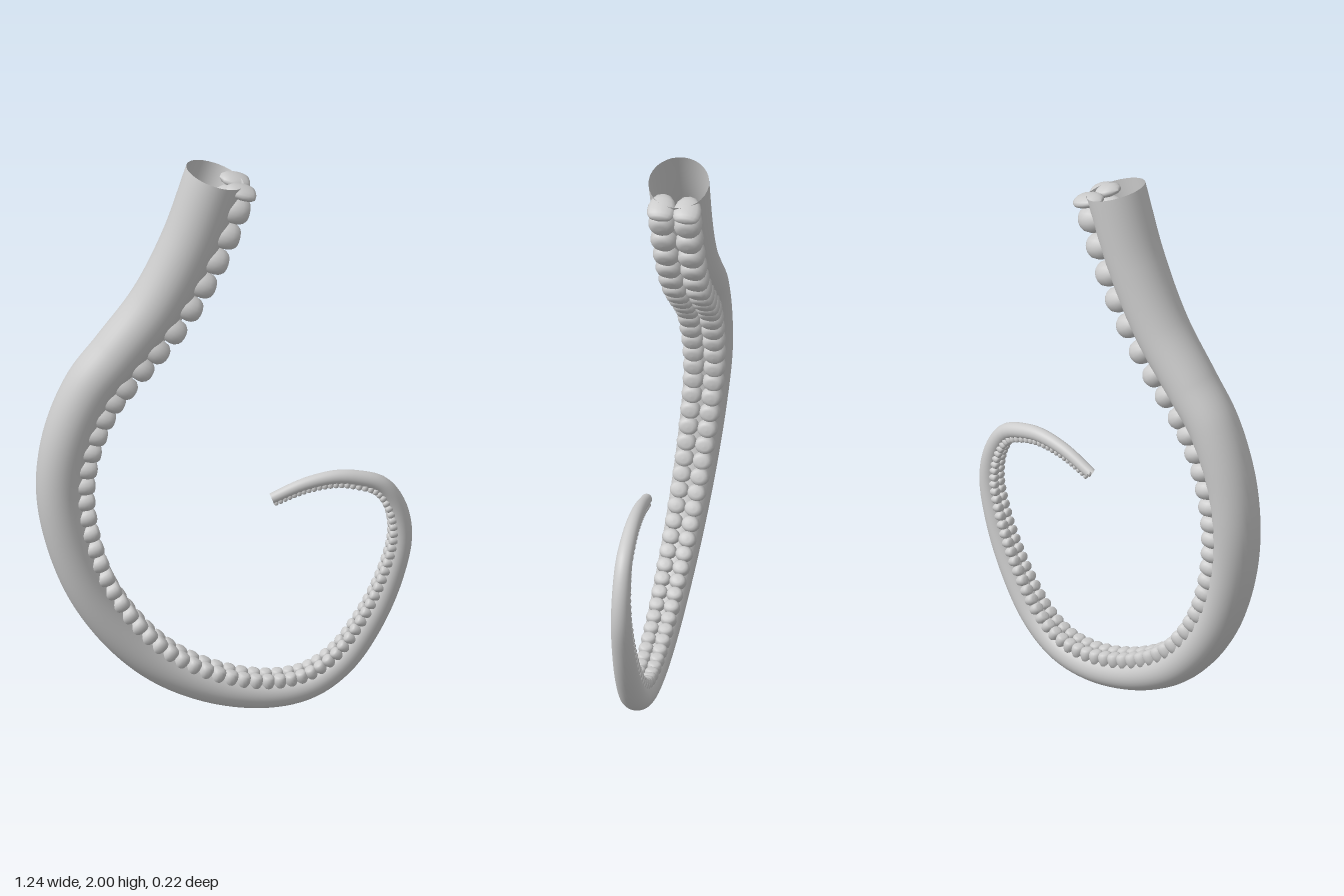
import * as THREE from 'three';
import { mergeGeometries } from 'three/addons/utils/BufferGeometryUtils.js';
import { ParametricGeometry } from 'three/addons/geometries/ParametricGeometry.js';

// Centre line, from the thick open end to the tip
const path = new THREE.CatmullRomCurve3([
  [-0.025, 1.97, -0.012], [-0.11, 1.733, -0.012], [-0.22, 1.52, -0.013], [-0.352, 1.352, -0.014],
  [-0.446, 1.234, -0.016], [-0.52, 1.06, -0.018], [-0.547, 0.88, -0.018], [-0.527, 0.7, -0.008],
  [-0.458, 0.494, 0.008], [-0.349, 0.322, 0.024], [-0.212, 0.19, 0.038], [-0.03, 0.096, 0.048],
  [0.15, 0.06, 0.055], [0.28, 0.08, 0.06], [0.387, 0.153, 0.064], [0.483, 0.29, 0.067],
  [0.553, 0.45, 0.069], [0.586, 0.6, 0.071], [0.567, 0.717, 0.073], [0.515, 0.797, 0.074],
  [0.435, 0.83, 0.073], [0.36, 0.841, 0.071], [0.255, 0.825, 0.068], [0.148, 0.784, 0.064],
].map((p) => new THREE.Vector3(...p)));
path.arcLengthDivisions = 1000;

const radiusAt = (s) => 0.1 - 0.082 * Math.pow(s, 1.2);

// Tangent, inward direction (sucker side) and sideways direction at s in 0..1
function frameAt(s) {
  const centre = path.getPointAt(s);
  const along = path.getTangentAt(s);
  const inward = new THREE.Vector3(-along.y, along.x, 0).normalize();
  const side = new THREE.Vector3().crossVectors(along, inward).normalize();
  return { centre, along, inward, side };
}

export function createModel() {
  const group = new THREE.Group();
  group.name = 'tentacle';

  // Tapered open tube
  const tube = new ParametricGeometry((u, v, target) => {
    const { centre, inward, side } = frameAt(THREE.MathUtils.clamp(v, 0, 1));
    const a = u * Math.PI * 2;
    const r = radiusAt(v);
    target.copy(centre)
      .addScaledVector(inward, r * Math.cos(a))
      .addScaledVector(side, r * Math.sin(a));
  }, 32, 160);
  const arm = new THREE.Mesh(tube, new THREE.MeshStandardMaterial({ color: 0xcccccc, side: THREE.DoubleSide }));
  arm.name = 'arm';
  group.add(arm);

  // Barrel-shaped sucker, measured in arm radii from the centre line
  const profile = [
    [0, 0.35], [0.25, 0.45], [0.39, 0.63], [0.46, 0.85], [0.47, 1.05],
    [0.44, 1.22], [0.36, 1.33], [0.22, 1.38], [0, 1.39],
  ].map(([x, y]) => new THREE.Vector2(x, y));
  const sucker = new THREE.LatheGeometry(profile, 16);

  // Two rows, shrinking with the arm
  const rows = { 1: [], '-1': [] };
  const length = path.getLength();
  function addPair(s, stretch) {
    const { centre, along, inward, side } = frameAt(s);
    const r = radiusAt(s);
    for (const sign of [1, -1]) {
      const place = new THREE.Matrix4()
        .makeBasis(along, inward, side)
        .setPosition(centre.clone().addScaledVector(side, sign * 0.43 * r))
        .scale(new THREE.Vector3(r * stretch, r, r));
      rows[sign].push(sucker.clone().applyMatrix4(place));
    }
  }
  addPair(0.022 / length, 0.48); // half pair at the cut end
  let d = 0.09;
  while (d < length - 0.006) {
    const s = d / length;
    const spacing = 0.95 - 0.1 * Math.min(1, s * 3);
    addPair(s, spacing / 0.94);
    d += radiusAt(s) * spacing;
  }
  for (const [sign, name] of [[1, 'suckerRowA'], [-1, 'suckerRowB']]) {
    const row = new THREE.Mesh(mergeGeometries(rows[sign]), new THREE.MeshStandardMaterial({ color: 0xcccccc }));
    row.name = name;
    group.add(row);
  }
  return group;
}
